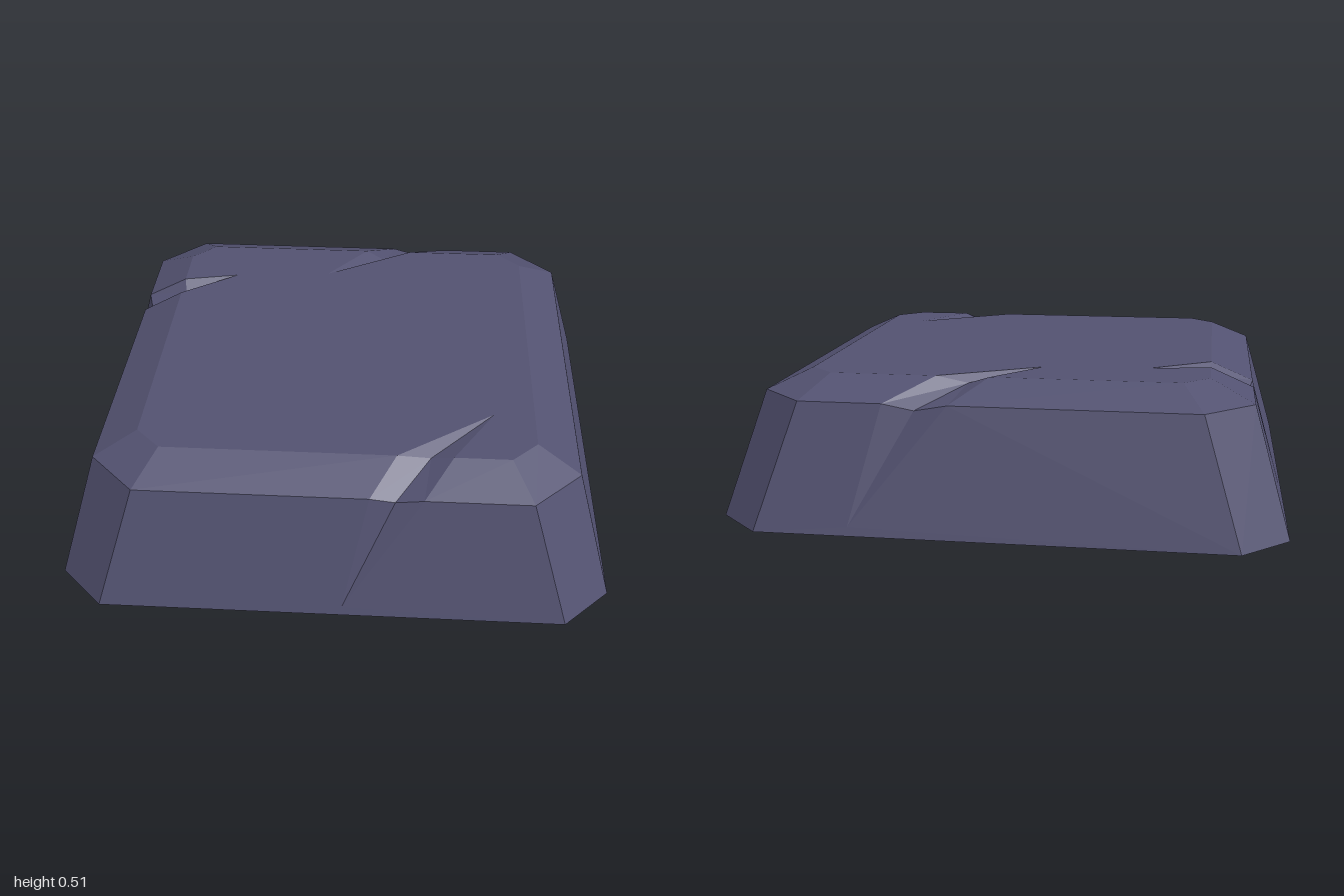
import * as THREE from 'three';

// Octagonal rings of the slab: half width, half length of the straight edge, height
const BASE = { d: 1, u: 0.835, y: 0 };
const RIM = { d: 0.873, u: 0.7, y: 0.44 };
const TOP = { d: 0.718, u: 0.625, y: 0.512 };

// Each side has its own frame: u runs to the right, d outwards.
// Cracks: foot on the wall, three rim points, two top edge points, groove and tip.
const SIDES = [
  { name: 'front', angle: 0,
    crack: { foot: 0.04, rim: [0.13, 0.22, 0.32], top: [0.22, 0.42], groove: [0.34, 0.483, 0.69], tip: [0.57, 0.46] } },
  { name: 'left', angle: Math.PI / 2 },
  { name: 'back', angle: Math.PI,
    crack: { foot: -0.5, rim: [-0.4, -0.29, -0.17], top: [-0.24, -0.05], groove: [-0.13, 0.483, 0.69], tip: [0.11, 0.51] } },
  { name: 'right', angle: -Math.PI / 2,
    crack: { foot: -0.42, rim: [-0.41, -0.355, -0.29], top: [-0.43, -0.32], groove: [-0.71 + 0.325, 0.475, 0.71], tip: [-0.475, 0.5] } },
];

const UP = new THREE.Vector3(0, 1, 0);

// Flat polygons, triangulated in the plane they face and wound outwards
function facets(polygons) {
  const positions = [];
  for (const points of polygons) {
    const normal = new THREE.Vector3();
    points.forEach((p, i) => normal.add(p.clone().cross(points[(i + 1) % points.length])));
    normal.normalize();
    const turn = new THREE.Quaternion().setFromUnitVectors(normal, new THREE.Vector3(0, 0, 1));
    const flat = points.map((p) => {
      const q = p.clone().applyQuaternion(turn);
      return new THREE.Vector2(q.x, q.y);
    });
    for (const tri of THREE.ShapeUtils.triangulateShape(flat, [])) {
      const [a, b, c] = tri.map((i) => points[i]);
      const n = b.clone().sub(a).cross(c.clone().sub(a));
      const order = n.dot(normal) < 0 ? [a, c, b] : [a, b, c];
      for (const p of order) positions.push(p.x, p.y, p.z);
    }
  }
  const geometry = new THREE.BufferGeometry();
  geometry.setAttribute('position', new THREE.Float32BufferAttribute(positions, 3));
  geometry.computeVertexNormals();
  return geometry;
}

export function createModel() {
  const group = new THREE.Group();
  group.name = 'stoneSlab';

  const stone = new THREE.MeshStandardMaterial({ color: 0x535271, flatShading: true, side: THREE.DoubleSide });
  stone.name = 'slate purple stone';

  const add = (name, polygons) => {
    const mesh = new THREE.Mesh(facets(polygons), stone);
    mesh.name = name;
    group.add(mesh);
  };

  const topOutline = [];
  for (const { name, angle, crack } of SIDES) {
    const at = (u, y, d) => new THREE.Vector3(u, y, d).applyAxisAngle(UP, angle);
    const edge = (ring) => [at(-ring.u, ring.y, ring.d), at(ring.u, ring.y, ring.d)];
    const [baseL, baseR] = edge(BASE);
    const [rimL, rimR] = edge(RIM);
    const [topL, topR] = edge(TOP);

    if (crack) {
      const footY = 0.03;
      const foot = at(crack.foot, footY, BASE.d + (RIM.d - BASE.d) * footY / RIM.y);
      const cutL = at(crack.rim[0], RIM.y, RIM.d);
      const cutMid = at(crack.rim[1], 0.415, 0.857);
      const cutR = at(crack.rim[2], RIM.y, RIM.d);
      const lipL = at(crack.top[0], TOP.y, TOP.d);
      const lipR = at(crack.top[1], TOP.y, TOP.d);
      const groove = at(...crack.groove);
      const tip = at(crack.tip[0], TOP.y, crack.tip[1]);

      add(name + 'Wall', [[baseL, baseR, rimR, cutR, foot, cutL, rimL]]);
      add(name + 'Bevel', [[rimL, cutL, lipL, topL], [cutR, rimR, topR, lipR]]);
      // V-shaped groove running up the wall and into the top
      add(name + 'Crack', [
        [foot, cutMid, cutL], [foot, cutR, cutMid],
        [cutL, cutMid, groove], [cutL, groove, lipL], [lipL, groove, tip],
        [cutMid, cutR, groove], [cutR, lipR, groove], [groove, lipR, tip],
      ]);
      topOutline.push(topL, lipL, tip, lipR, topR);
    } else {
      add(name + 'Wall', [[baseL, baseR, rimR, rimL]]);
      add(name + 'Bevel', [[rimL, rimR, topR, topL]]);
      topOutline.push(topL, topR);
    }

    // Cut corner to the right of this side
    const corner = (ring) => [at(ring.u, ring.y, ring.d), at(ring.d, ring.y, ring.u)];
    const [b0, b1] = corner(BASE);
    const [r0, r1] = corner(RIM);
    const [t0, t1] = corner(TOP);
    add(name + 'Corner', [[b0, b1, r1, r0], [r0, r1, t1, t0]]);
  }

  add('topFace', [topOutline]);
  return group;
}
